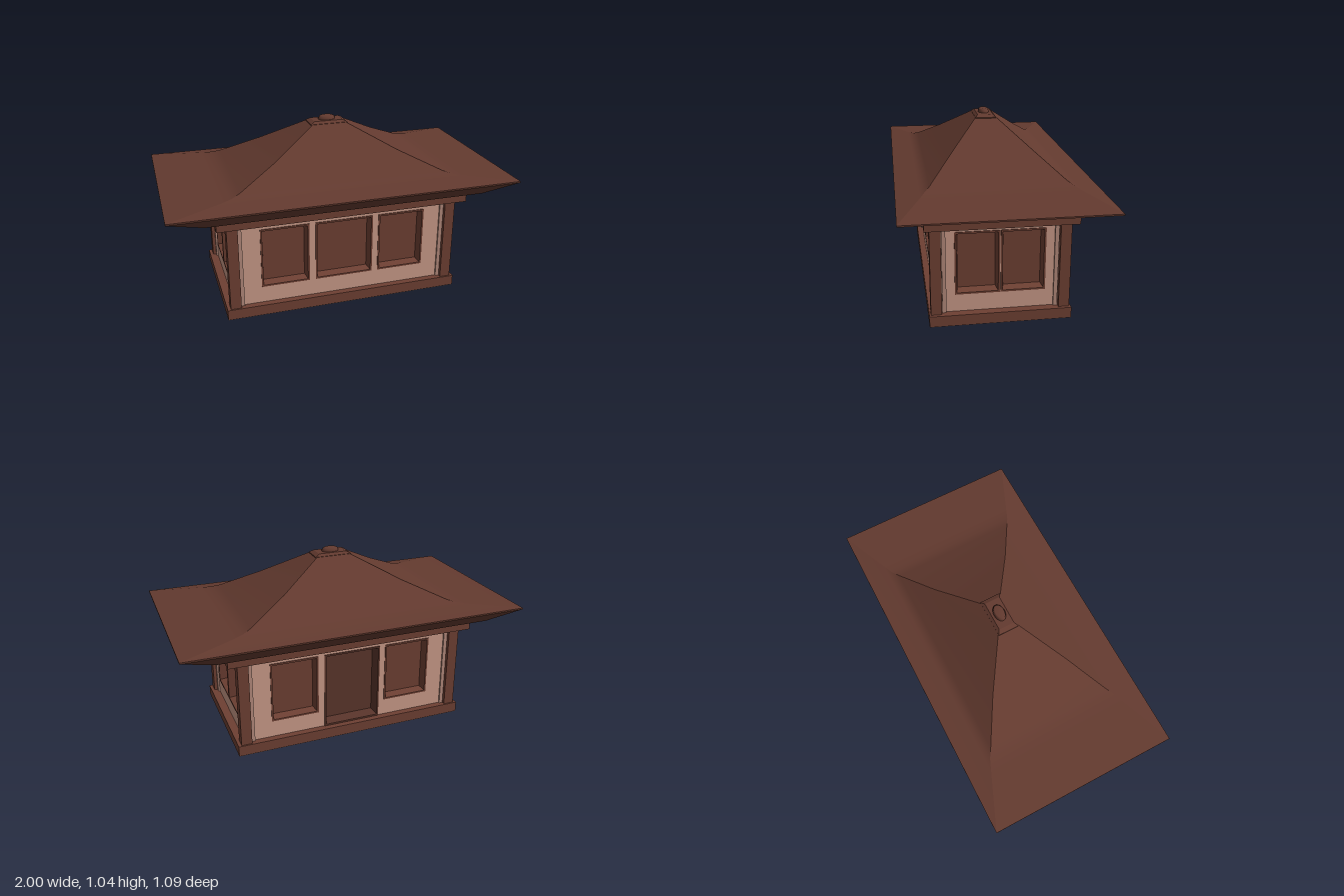
import * as THREE from 'three';

const mat = (color, side = THREE.FrontSide) => new THREE.MeshStandardMaterial({ color, side });
const wood = mat(0x6e4033);
const roofWood = mat(0x633a2f, THREE.DoubleSide);
const plaster = mat(0xc99a88);
const plasterTrim = mat(0xb38a7b);
const doorWood = mat(0x5a352b);

// Rectangular rings [halfX, halfZ, y] joined into four sides, listed from the centre outwards
function loft(rings, flat = false) {
  const corners = [[-1, 1], [1, 1], [1, -1], [-1, -1]];
  const pos = [], index = [];
  for (let k = 0; k < 4; k++) {
    const start = pos.length / 3;
    for (const [hx, hz, y] of rings) {
      for (const [sx, sz] of [corners[k], corners[(k + 1) % 4]]) pos.push(sx * hx, y, sz * hz);
    }
    for (let i = 0; i < rings.length - 1; i++) {
      const a = start + i * 2, b = a + 1, c = a + 2, d = a + 3;
      index.push(c, d, b, c, b, a);
    }
  }
  let geo = new THREE.BufferGeometry();
  geo.setAttribute('position', new THREE.Float32BufferAttribute(pos, 3));
  geo.setIndex(index);
  if (flat) geo = geo.toNonIndexed();
  geo.computeVertexNormals();
  return geo;
}

function add(parent, name, geo, material, x = 0, y = 0, z = 0) {
  const mesh = new THREE.Mesh(geo, material);
  mesh.name = name;
  mesh.position.set(x, y, z);
  parent.add(mesh);
  return mesh;
}

const box = (parent, name, w, y0, y1, d, material, x = 0, z = 0) =>
  add(parent, name, new THREE.BoxGeometry(w, y1 - y0, d), material, x, (y0 + y1) / 2, z);

// Recessed panel with a sloped reveal and a thin raised rim, facing +z
function panel(parent, name, o, depth, material) {
  const w = (o.x1 - o.x0) / 2, h = (o.y1 - o.y0) / 2;
  const geo = loft([
    [0, 0, -depth], [w - 0.02, h - 0.02, -depth], [w - 0.01, h - 0.01, 0.005],
    [w, h, 0.005], [w, h, -0.005],
  ], true);
  geo.rotateX(Math.PI / 2);
  add(parent, name, geo, material, (o.x0 + o.x1) / 2, (o.y0 + o.y1) / 2, 0);
}

// Plaster wall with openings; its outer face is at local z = 0
function wall(name, halfW, openings) {
  const group = new THREE.Group();
  group.name = name;
  const shape = new THREE.Shape();
  shape.moveTo(-halfW, 0.05).lineTo(halfW, 0.05).lineTo(halfW, 0.58).lineTo(-halfW, 0.58).closePath();
  for (const o of openings) {
    const e = 0.004, hole = new THREE.Path();
    hole.moveTo(o.x0 + e, o.y0 + e).lineTo(o.x0 + e, o.y1 - e)
      .lineTo(o.x1 - e, o.y1 - e).lineTo(o.x1 - e, o.y0 + e).closePath();
    shape.holes.push(hole);
    if (o.door) panel(group, 'door', o, 0.06, doorWood);
    else panel(group, 'window', o, 0.045, wood);
  }
  const geo = new THREE.ExtrudeGeometry(shape, { depth: 0.03, bevelEnabled: false });
  geo.translate(0, 0, -0.03);
  add(group, 'plasterPanel', geo, plaster);
  // Narrow strips where the wall meets the corner posts
  for (const s of [-1, 1]) {
    box(group, 'wallEdgeStrip', 0.022, 0.06, 0.57, 0.02, plasterTrim, s * (halfW - 0.025), 0);
  }
  return group;
}

export function createModel() {
  const model = new THREE.Group();
  model.name = 'pavilion';

  // Plinth, floor underside and top beam
  box(model, 'plinth', 1.396, 0.003, 0.064, 0.778, wood);
  box(model, 'floorUnderside', 1.39, 0, 0.01, 0.774, plaster);
  box(model, 'topBeam', 1.47, 0.567, 0.635, 0.818, wood);

  // Corner posts
  for (const sx of [-1, 1]) {
    for (const sz of [-1, 1]) box(model, 'cornerPost', 0.062, 0.06, 0.57, 0.06, wood, sx * 0.648, sz * 0.35);
  }

  // Walls: three windows in front, a door between two windows behind, paired windows at the ends
  const opening = (x0, x1, y0 = 0.165, door = false) => ({ x0, x1, y0, y1: 0.525, door });
  const sideWindows = () => [opening(-0.49, -0.207), opening(0.21, 0.493)];
  const front = wall('frontWall', 0.63, [...sideWindows(), opening(-0.17, 0.175)]);
  front.position.z = 0.35;
  const back = wall('backWall', 0.63, [...sideWindows(), opening(-0.17, 0.175, 0.064, true)]);
  back.position.z = -0.35;
  back.rotation.y = Math.PI;
  model.add(front, back);
  for (const s of [-1, 1]) {
    const end = wall('endWall', 0.33, [opening(-0.247, -0.002), opening(0.002, 0.247)]);
    end.position.x = s * 0.65;
    end.rotation.y = s * Math.PI / 2;
    model.add(end);
  }

  // Hipped roof with flared eaves, and its sloping underside
  add(model, 'roof', loft([
    [0, 0, 1.012], [0.095, 0.05, 1.012], [0.105, 0.062, 1.005], [0.36, 0.23, 0.868], [0.59, 0.365, 0.762],
    [0.64, 0.395, 0.747], [0.70, 0.42, 0.739], [1, 0.545, 0.715],
  ]), roofWood);
  add(model, 'eaveUnderside', loft([
    [1, 0.545, 0.715], [1, 0.545, 0.707], [0.80, 0.475, 0.637], [0.76, 0.455, 0.629], [0, 0, 0.629],
  ], true), roofWood);

  // Ridge cap and rounded finial
  add(model, 'ridgeCap', loft([
    [0, 0, 1.021], [0.085, 0.045, 1.021], [0.11, 0.06, 1.008], [0.11, 0.06, 1.0],
  ], true), roofWood);
  const profile = [[0, 1.043], [0.7, 1.043], [0.9, 1.038], [0.9, 1.031], [1, 1.029], [1, 1.015]]
    .map(([r, y]) => new THREE.Vector2(r * 0.05, y)).reverse();
  const finial = add(model, 'finial', new THREE.LatheGeometry(profile, 24), roofWood);
  finial.scale.z = 0.64;
  return model;
}
